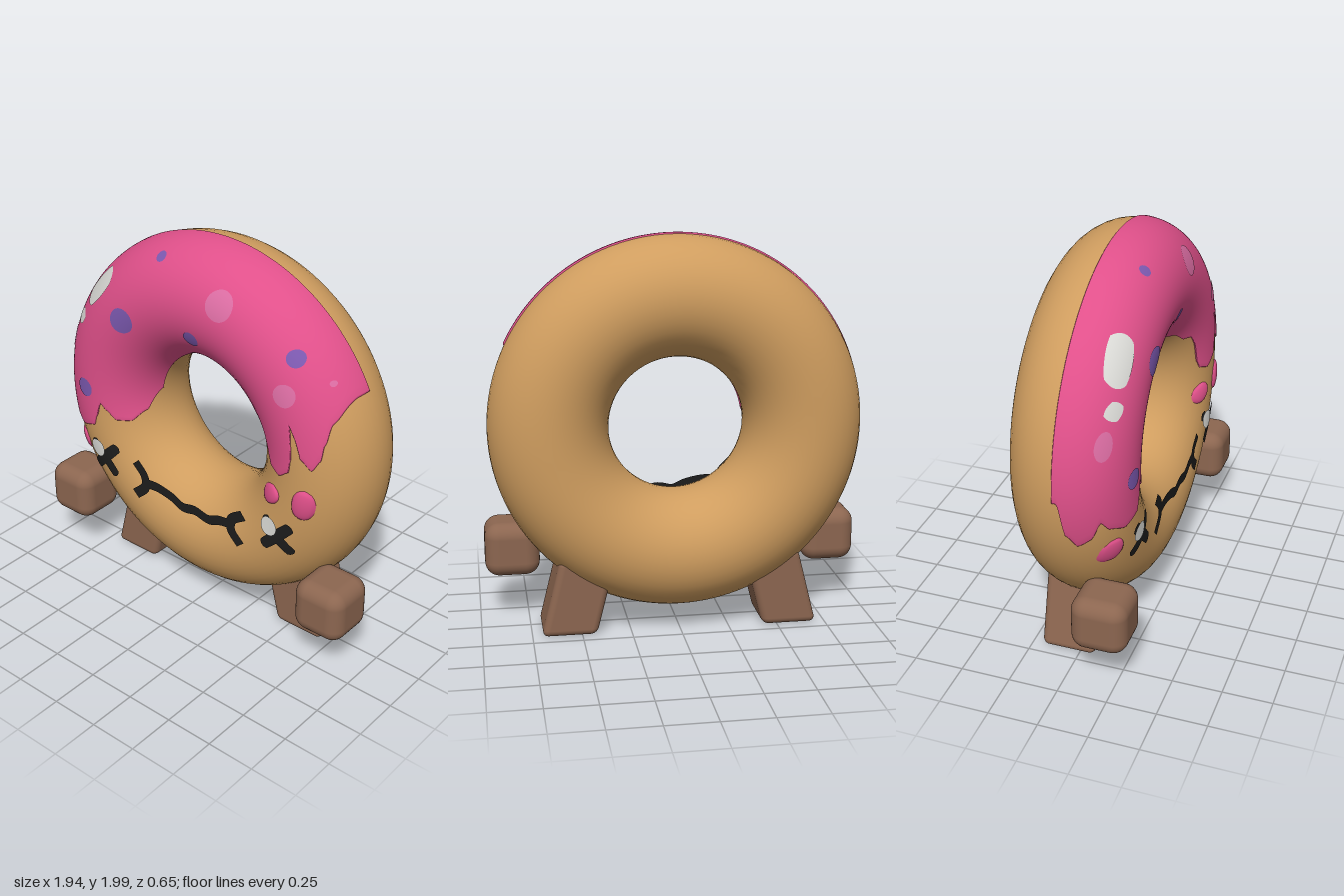
import * as THREE from 'three';
import { RoundedBoxGeometry } from 'three/addons/geometries/RoundedBoxGeometry.js';

const R = 0.643, TUBE = 0.3, ICE = 0.308, CY = 1.047, CZ = -0.025;

const mat = (name, color, side = THREE.FrontSide) => {
  const m = new THREE.MeshStandardMaterial({ color, side });
  m.name = name;
  return m;
};

// front height of the ring with the given tube radius at x, y
const ringZ = (x, y, r) => {
  const d = Math.hypot(x, y - CY) - R;
  return CZ + Math.sqrt(Math.max(0, r * r - d * d));
};

// rounded patch laid on the ring; round = 1 gives an ellipse, less gives a rounded bar
function patch(x, y, w, h, deg, r, lift, round = 1, bulge = 0) {
  const g = new THREE.PlaneGeometry(2, 2, 14, 14), p = g.attributes.position;
  const a = THREE.MathUtils.degToRad(deg), c = Math.cos(a), s = Math.sin(a);
  for (let i = 0; i < p.count; i++) {
    const u = p.getX(i), v = p.getY(i);
    const du = u * Math.sqrt(1 - round * v * v / 2), dv = v * Math.sqrt(1 - round * u * u / 2);
    const px = x + du * w / 2 * c - dv * h / 2 * s;
    const py = y + du * w / 2 * s + dv * h / 2 * c;
    const dome = bulge * Math.sqrt(Math.max(0, 1 - du * du - dv * dv));
    p.setXYZ(i, px, py, ringZ(px, py, r) + lift + dome);
  }
  g.computeVertexNormals();
  return g;
}

// icing ends as front-view points, from the hole outwards
const RIGHT_END = [[.215, 1.33], [.28, 1.33], [.36, 1.275], [.4, 1.275], [.44, 1.22], [.475, 1.1], [.5, 1.055],
  [.56, 1.035], [.62, 1.075], [.635, 1.15], [.63, 1.25], [.622, 1.33], [.655, 1.27], [.69, 1.17],
  [.745, 1.125], [.78, 1.18], [.79, 1.26], [.805, 1.36], [.845, 1.46]];
const LEFT_END = [[-.34, 1.1], [-.38, .99], [-.43, .935], [-.5, .93], [-.555, .975], [-.59, 1.005], [-.615, .93],
  [-.64, .865], [-.73, .83], [-.82, .86], [-.86, .91], [-.875, .82], [-.895, .785], [-.925, .85], [-.95, 1.03]];

// angle of an icing end as a smooth function of distance from the ring centre
function endAngle(points) {
  const pts = points.map(([x, y]) => {
    const t = Math.atan2(y - CY, x);
    return [Math.hypot(x, y - CY), t < -Math.PI / 2 ? t + 2 * Math.PI : t];
  });
  return rho => {
    if (rho <= pts[0][0]) return pts[0][1];
    for (let i = 1; i < pts.length; i++) {
      const [r0, t0] = pts[i - 1], [r1, t1] = pts[i];
      if (rho <= r1) {
        const k = (rho - r0) / (r1 - r0);
        return t0 + (t1 - t0) * (0.5 * k + 0.5 * k * k * (3 - 2 * k));
      }
    }
    return pts[pts.length - 1][1];
  };
}

function icingGeometry() {
  const cols = 300, rows = 80, pos = [], idx = [];
  const right = endAngle(RIGHT_END), left = endAngle(LEFT_END);
  const rim = [[0, 0.294], [0.004, 0.304], [0.014, ICE]];
  for (let i = 0; i <= cols; i++) {
    const phi = (i / cols) * 2.88;
    const rho = R + ICE * Math.cos(phi);
    const t0 = right(rho), t1 = left(rho);
    const edge = Math.min(i, cols - i);
    const cap = edge === 0 ? 0.29 : edge === 1 ? 0.304 : ICE;
    for (let j = 0; j <= rows; j++) {
      const e = Math.min(j, rows - j);
      const [inset, r0] = rim[Math.min(e, 2)];
      let t;
      if (e < 2) t = j < 2 ? t0 + inset : t1 - inset;
      else t = t0 + 0.014 + (t1 - t0 - 0.028) * (j - 2) / (rows - 4);
      const r = Math.min(r0, cap), d = R + r * Math.cos(phi);
      pos.push(d * Math.cos(t), CY + d * Math.sin(t), CZ + r * Math.sin(phi));
      if (i < cols && j < rows) {
        const a = i * (rows + 1) + j, c = a + rows + 1;
        idx.push(a, a + 1, c, a + 1, c + 1, c);
      }
    }
  }
  const g = new THREE.BufferGeometry();
  g.setAttribute('position', new THREE.Float32BufferAttribute(pos, 3));
  g.setIndex(idx);
  g.computeVertexNormals();
  return g;
}

// flat stroke of even width along a smooth line
function stroke(points, half, z) {
  const curve = new THREE.CatmullRomCurve3(points.map(([x, y]) => new THREE.Vector3(x, y, 0)));
  const n = 40, up = [], down = [];
  for (let i = 0; i <= n; i++) {
    const p = curve.getPointAt(i / n), t = curve.getTangentAt(i / n);
    up.push(new THREE.Vector2(p.x - t.y * half, p.y + t.x * half));
    down.unshift(new THREE.Vector2(p.x + t.y * half, p.y - t.x * half));
  }
  return new THREE.ShapeGeometry(new THREE.Shape([...up, ...down])).translate(0, 0, z);
}

export function createModel() {
  const model = new THREE.Group();
  const dough = mat('dough', 0xcf9d5f);
  const pink = mat('pink icing', 0xe0508a, THREE.DoubleSide);
  const palePink = mat('pale pink', 0xdd6ea4);
  const purple = mat('purple', 0x7c59b0);
  const white = mat('white', 0xdcdcd8, THREE.DoubleSide);
  const black = mat('black', 0x1d1d1d, THREE.DoubleSide);
  const brown = mat('brown', 0x8c6650);
  const add = (name, geometry, material) => {
    const m = new THREE.Mesh(geometry, material);
    m.name = name;
    model.add(m);
    return m;
  };

  // ring body and icing
  add('ring', new THREE.TorusGeometry(R, TUBE, 40, 112).translate(0, CY, CZ), dough);
  add('icing', icingGeometry(), pink);

  // loose icing drops: x, y, width, height, tilt
  for (const d of [[.505, .905, .13, .1, 30], [.705, .925, .12, .17, -10], [-.77, .715, .1, .14, 0]])
    add('icingDrop', patch(...d, TUBE, -0.002, 1, 0.022), pink);

  // spots and shine on the icing
  for (const d of [[-.41, 1.54, .15, .13, 20], [.02, 1.57, .09, .08, 20], [-.69, 1.075, .105, .1, 0],
    [.6, 1.64, .085, .07, -35], [-.23, 1.895, .06, .04, 10]])
    add('purpleSpot', patch(...d, ICE, 0.004), purple);
  for (const d of [[.19, 1.79, .145, .14, 0], [.585, 1.47, .11, .11, 0], [-.83, 1.3, .06, .14, -20], [.76, 1.54, .02, .03, 40]])
    add('paleSpot', patch(...d, ICE, 0.004), palePink);
  for (const d of [[-.63, 1.63, .25, .1, 50], [-.75, 1.44, .09, .065, 45]])
    add('shine', patch(...d, ICE, 0.005, 0.75), white);

  // crossed eyes with a glint
  for (const x of [-.568, .566]) {
    for (const tilt of [45, -45]) add('eyeStroke', patch(x, .7, .235, .062, tilt, TUBE, 0.009, 0.4), black);
    add('eyeGlint', patch(x - .045, .742, .1, .1, 0, TUBE, 0.016), white);
  }

  // wavy mouth with forked ends
  const mouthZ = 0.281;
  add('mouth', stroke([[-.29, .65], [-.2, .658], [-.1, .64], [-.03, .612], [.05, .625], [.14, .61], [.21, .635], [.28, .645]], .027, mouthZ), black);
  add('mouthEnd', stroke([[-.348, .755], [-.29, .69], [-.285, .63], [-.355, .558]], .028, mouthZ), black);
  add('mouthEnd', stroke([[.36, .728], [.29, .675], [.285, .615], [.345, .548]], .028, mouthZ), black);

  // hands and slanted legs
  for (const side of [-1, 1]) {
    add('hand', new RoundedBoxGeometry(.28, .28, .28, 5, .075), brown).position.set(side * .83, .38, .185);
    const leg = new RoundedBoxGeometry(.28, .4, .28, 4, .035);
    leg.applyMatrix4(new THREE.Matrix4().set(1, -side * .25, 0, 0, 0, 1, 0, 0, 0, 0, 1, 0, 0, 0, 0, 1));
    add('leg', leg, brown).position.set(side * .515, .203, -.06);
  }
  return model;
}
